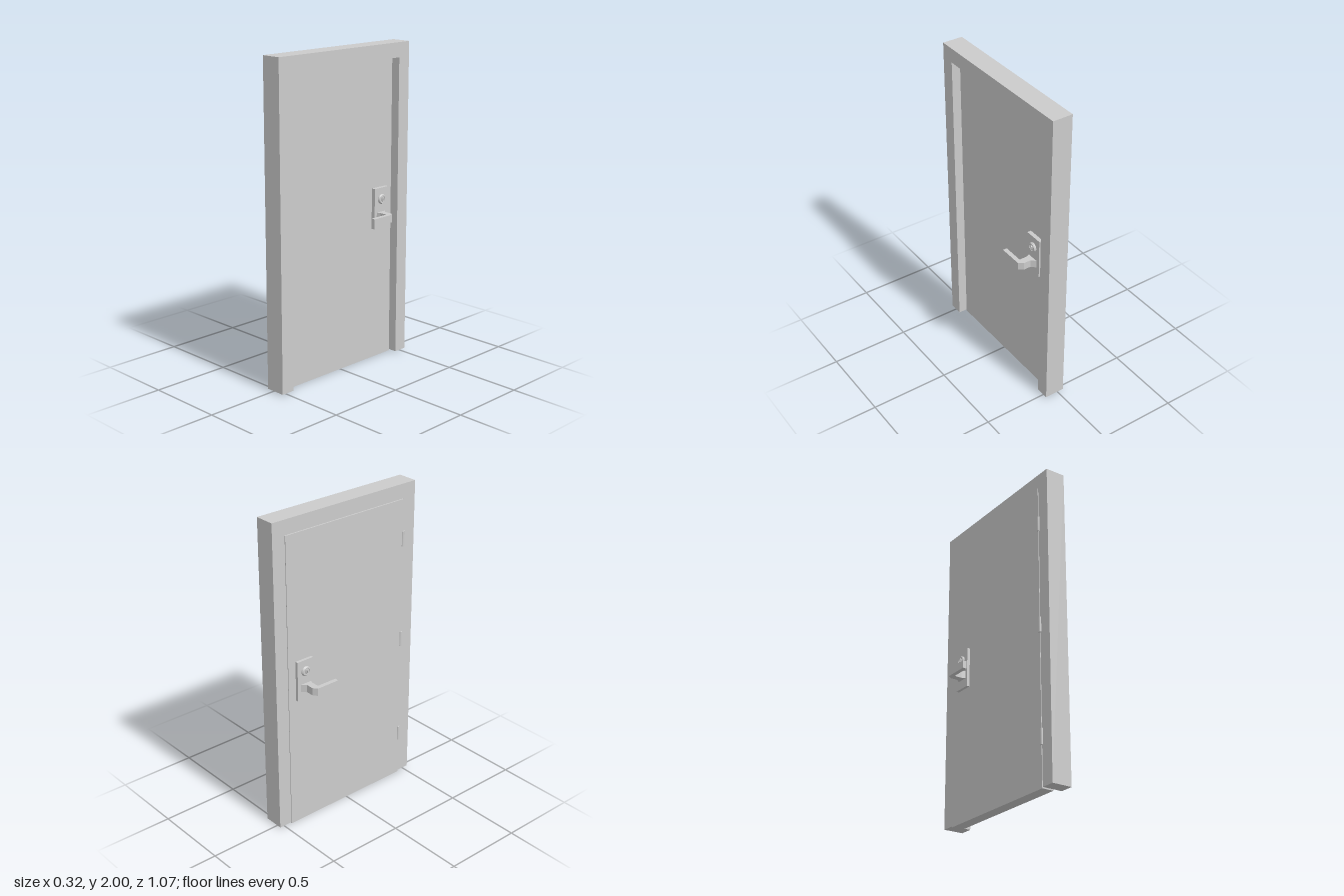
import * as THREE from 'three';

const material = new THREE.MeshStandardMaterial({ color: 0xcccccc, flatShading: true });
const smooth = new THREE.MeshStandardMaterial({ color: 0xcccccc });

function add(parent, name, geometry, x = 0, y = 0, z = 0, mat = material) {
  const mesh = new THREE.Mesh(geometry, mat);
  mesh.name = name;
  mesh.position.set(x, y, z);
  parent.add(mesh);
  return mesh;
}

// Extrudes an outline and centres it along its depth
function extrude(shape, depth) {
  return new THREE.ExtrudeGeometry(shape, { depth, bevelEnabled: false, curveSegments: 24 })
    .translate(0, 0, -depth / 2);
}

// Plate, lever and lock for one face; local +x points away from the door
function createLockSet(side) {
  const set = new THREE.Group();
  set.name = side > 0 ? 'leftLockSet' : 'rightLockSet';

  add(set, 'lockPlate', new THREE.BoxGeometry(0.025, 0.257, 0.118), 0.0475, 0.983, -0.335 * side);

  // Lever outline as (x, z), bent round towards the hinges
  const outline = [
    [0.055, -0.375], [0.085, -0.345], [0.133, -0.345], [0.16, -0.325], [0.16, -0.17],
    [0.133, -0.17], [0.133, -0.303], [0.083, -0.303], [0.055, -0.293],
  ].map(([x, z]) => new THREE.Vector2(x, -z * side));
  const lever = extrude(new THREE.Shape(outline), 0.048).rotateX(-Math.PI / 2);
  add(set, 'lever', lever, 0, 0.935, 0);

  // Round lock with a stepped rim and a keyhole
  const profile = [[0.031, 0], [0.031, 0.005], [0.026, 0.013], [0.02, 0.013], [0.02, 0.009], [0, 0.009]]
    .map(([r, h]) => new THREE.Vector2(r, h));
  const lock = new THREE.LatheGeometry(profile, 24).rotateZ(-Math.PI / 2);
  add(set, 'lockCylinder', lock, 0.06, 1.04, -0.335 * side).material = new THREE.MeshStandardMaterial({
    color: 0xcccccc, flatShading: true, side: THREE.DoubleSide,
  });

  // Key plug with a slot cut through it
  const plug = new THREE.Shape();
  plug.absellipse(0, 0, 0.008, 0.016, 0, Math.PI * 2);
  const slot = new THREE.Path();
  slot.absellipse(0, 0, 0.0025, 0.011, 0, Math.PI * 2, true);
  plug.holes.push(slot);
  add(set, 'keyPlug', extrude(plug, 0.01).rotateY(Math.PI / 2), 0.073, 1.04, -0.335 * side);

  // Turning by half a revolution keeps winding intact for the other face
  if (side < 0) set.rotation.y = Math.PI;
  return set;
}

export function createModel() {
  const model = new THREE.Group();
  model.name = 'door';

  // Frame: an arch of two jambs and a header, open at the floor
  const frame = new THREE.Shape([
    [-0.536, 0.01], [-0.449, 0.01], [-0.449, 1.908], [0.449, 1.908],
    [0.449, 0.01], [0.536, 0.01], [0.536, 2], [-0.536, 2],
  ].map(([z, y]) => new THREE.Vector2(z, y)));
  add(model, 'frame', extrude(frame, 0.129).rotateY(Math.PI / 2), 0.0265, 0, 0);

  // Door leaf, flush on the hinge face and recessed on the other
  add(model, 'doorLeaf', new THREE.BoxGeometry(0.076, 1.903, 0.895), -0.003, 0.9535, 0);

  // Hinge barrels
  for (const y of [0.3, 0.985, 1.655]) {
    add(model, 'hinge', new THREE.CylinderGeometry(0.011, 0.011, 0.097, 16), -0.038, y, 0.447, smooth);
  }

  for (const side of [1, -1]) model.add(createLockSet(side));
  return model;
}
